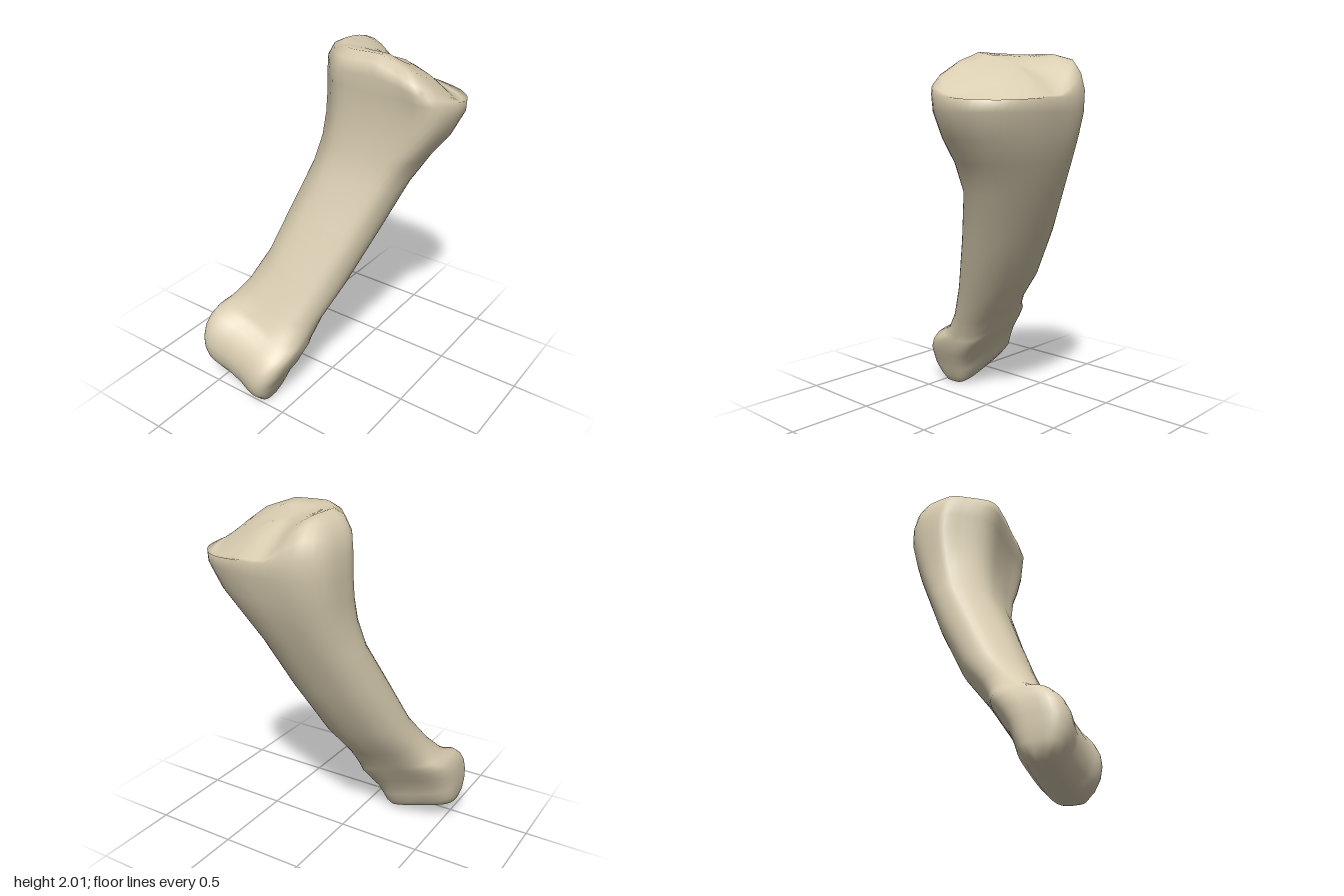
import * as THREE from 'three';

const SIDES = 48;

// Skin a stack of closed rings (arrays of Vector3) and close both ends
function loft(rings, startPoint, endPoint) {
  const n = rings[0].length;
  const positions = [];
  const index = [];
  for (const ring of rings) for (const p of ring) positions.push(p.x, p.y, p.z);
  const start = rings.length * n;
  const end = start + 1;
  positions.push(...startPoint, ...endPoint);
  const last = (rings.length - 1) * n;
  for (let i = 0; i < n; i++) {
    const j = (i + 1) % n;
    for (let r = 0; r < rings.length - 1; r++) {
      const a = r * n + i, b = r * n + j, c = b + n, d = a + n;
      index.push(b, a, d, b, d, c);
    }
    index.push(i, j, start, last + j, last + i, end);
  }
  const geometry = new THREE.BufferGeometry();
  geometry.setAttribute('position', new THREE.Float32BufferAttribute(positions, 3));
  geometry.setIndex(index);
  geometry.computeVertexNormals();
  return geometry;
}

// Plan of the wide upper head, as x, z
const headPlan = [
  [-0.09, -0.59], [0.13, -0.605], [0.27, -0.595], [0.44, -0.545], [0.52, -0.48], [0.565, -0.41],
  [0.58, -0.25], [0.53, -0.11], [0.47, -0.08], [0.37, -0.085], [0.25, -0.08], [0.13, -0.07],
  [0, -0.06], [-0.06, -0.075], [-0.2, -0.225], [-0.24, -0.28], [-0.24, -0.37], [-0.2, -0.51],
];

// The same plan scaled to fit a square from -1 to 1
function unitPlan() {
  const curve = new THREE.CatmullRomCurve3(
    headPlan.map(([x, z]) => new THREE.Vector3((x - 0.17) / 0.41, 0, (z + 0.3325) / 0.2725)), true);
  return curve.getSpacedPoints(SIDES).slice(0, SIDES);
}

// Lower joint: y, left x, right x, back z, front z, joint shape amount, sideways tilt
const jointSections = [
  [0.035, -0.53, -0.16, 0.37, 0.47, 1, 0.33],
  [0.052, -0.565, -0.135, 0.325, 0.52, 1, 0.33],
  [0.10, -0.58, -0.115, 0.28, 0.567, 1, 0.33],
  [0.16, -0.585, -0.09, 0.258, 0.593, 1, 0.33],
  [0.22, -0.585, -0.07, 0.23, 0.602, 1, 0.33],
  [0.28, -0.582, -0.04, 0.187, 0.592, 1, 0.33],
  [0.33, -0.57, -0.025, 0.15, 0.565, 1, 0.33],
  [0.37, -0.55, -0.012, 0.12, 0.52, 1, 0.33],
  [0.395, -0.525, -0.01, 0.10, 0.455, 0.8, 0.33],
  [0.43, -0.505, 0, 0.075, 0.405, 0.5, 0.33],
  [0.52, -0.455, 0.025, 0.005, 0.34, 0.2, 0.3],
];

// Shaft and head: y, left x, right x, back z, front z, head shape amount, sideways tilt, slope of the top
const shaftSections = [
  [0.70, -0.40, 0.105, -0.15, 0.23, 0.3, 0.2, 0],
  [1.00, -0.335, 0.225, -0.32, 0.085, 0.4, 0.1, 0],
  [1.26, -0.275, 0.335, -0.44, -0.04, 0.5, 0, 0],
  [1.42, -0.245, 0.425, -0.515, -0.07, 0.7, 0, 0],
  [1.55, -0.24, 0.52, -0.56, -0.085, 0.9, 0, 0],
  [1.68, -0.24, 0.58, -0.595, -0.085, 1, 0, 0],
  [1.79, -0.237, 0.582, -0.602, -0.075, 1, 0, 0.2],
  [1.88, -0.22, 0.56, -0.585, -0.06, 1, 0, 0.65],
  [1.95, -0.175, 0.51, -0.555, -0.07, 1, 0, 1],
  [1.985, -0.11, 0.41, -0.48, -0.12, 1, 0, 1],
  [1.995, 0.0, 0.28, -0.39, -0.21, 1, 0, 1],
];

// The top drops towards the right end and the back, leaving the left back corner raised
function topFall(x, z) {
  const back = THREE.MathUtils.smoothstep(x, -0.15, 0.12);
  return 0.35 * Math.max(0, x - 0.2) + 0.43 * back * Math.max(0, -z - 0.15);
}

// Place a unit point in a section, tilted about the section's middle
function place([y, x0, x1, z0, z1], tilt, u, v) {
  const du = u * (x1 - x0) / 2;
  return new THREE.Vector3((x0 + x1) / 2 + du, y - tilt * du, (z0 + z1) / 2 + v * (z1 - z0) / 2);
}

function boneGeometry() {
  const plan = unitPlan();
  const angles = plan.map((p) => Math.atan2(p.z, p.x));
  const power = (value, e) => Math.sign(value) * Math.abs(value) ** e;

  // boxy rings with a groove between two front knuckles
  const jointRings = jointSections.map((section) => {
    const [amount, tilt] = section.slice(5);
    return angles.map((angle, i) => {
      const e = 1 - 0.45 * amount;
      const u = THREE.MathUtils.lerp(power(Math.cos(angle), e), plan[i].x, 0.2 * (1 - amount));
      let v = THREE.MathUtils.lerp(power(Math.sin(angle), e), plan[i].z, 0.2 * (1 - amount));
      if (v > 0) v *= 1 - amount * (0.08 * (1 - u) + 0.25 * Math.cos(u * Math.PI / 2) ** 2);
      return place(section, tilt, u, v);
    });
  });

  // round rings that turn into the head plan
  const shaftRings = shaftSections.map((section) => {
    const [k, tilt, slope] = section.slice(5);
    return plan.map((p, i) => {
      const u = THREE.MathUtils.lerp(Math.cos(angles[i]), p.x, k);
      const v = THREE.MathUtils.lerp(Math.sin(angles[i]), p.z, k);
      const point = place(section, tilt, u, v);
      point.y -= slope * topFall(point.x, point.z);
      return point;
    });
  });

  return loft([...jointRings, ...shaftRings], [-0.35, 0.04, 0.41], [0.12, 1.93, -0.3]);
}

export function createModel() {
  const material = new THREE.MeshStandardMaterial({ color: 0xd8ccb0 });
  material.name = 'bone';
  const bone = new THREE.Mesh(boneGeometry(), material);
  bone.name = 'shaftWithHeadAndJoint';
  const group = new THREE.Group();
  group.name = 'fingerBone';
  group.add(bone);
  return group;
}
